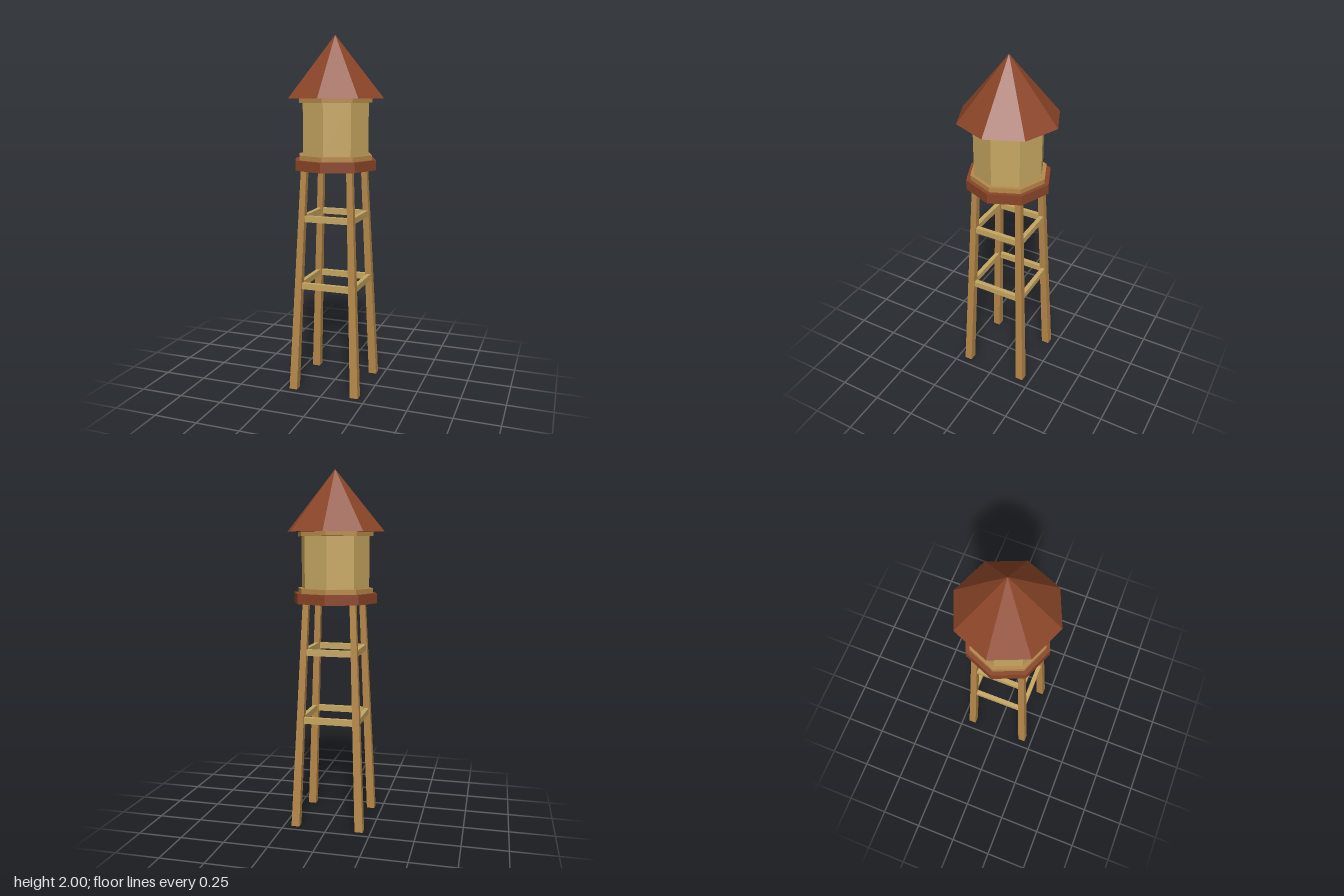
import * as THREE from 'three';

const paint = (name, color) => {
  const m = new THREE.MeshStandardMaterial({ color });
  m.name = name;
  m.flatShading = true;
  return m;
};

export function createModel() {
  const tower = new THREE.Group();
  tower.name = 'waterTower';
  const red = paint('rustRed', 0x8b4528);
  const plank = paint('paleWood', 0xc8a862);
  const timber = paint('timber', 0xb8894a);

  const add = (name, geometry, material, x = 0, y = 0, z = 0) => {
    const mesh = new THREE.Mesh(geometry, material);
    mesh.name = name;
    mesh.position.set(x, y, z);
    tower.add(mesh);
    return mesh;
  };

  // Eight-sided parts, stacked from bottom to top
  const octagon = (name, r, y0, y1, material) =>
    add(name, new THREE.CylinderGeometry(r, r, y1 - y0, 8), material, 0, (y0 + y1) / 2, 0);
  octagon('platform', 0.24, 1.267, 1.323, red);
  octagon('lowerBand', 0.216, 1.323, 1.35, timber);
  octagon('tank', 0.195, 1.35, 1.636, plank);
  octagon('upperBand', 0.216, 1.636, 1.661, timber);
  add('roof', new THREE.ConeGeometry(0.28, 0.34, 8), red, 0, 1.83, 0);

  // Leg centre line and width taper toward the platform
  const legTop = 1.27;
  const legCentre = (y) => THREE.MathUtils.lerp(0.184, 0.132, y / legTop);

  // Square legs leaning inward with level ends
  for (const sx of [-1, 1]) {
    for (const sz of [-1, 1]) {
      const leg = new THREE.BoxGeometry(1, legTop, 1);
      const p = leg.attributes.position;
      for (let i = 0; i < p.count; i++) {
        const y = p.getY(i) + legTop / 2;
        const w = THREE.MathUtils.lerp(0.046, 0.033, y / legTop);
        p.setXYZ(i, sx * legCentre(y) + p.getX(i) * w, y, sz * legCentre(y) + p.getZ(i) * w);
      }
      leg.computeVertexNormals();
      add('leg', leg, timber);
    }
  }

  // Two square rings of braces between the legs
  for (const y of [0.613, 0.997]) {
    const c = legCentre(y);
    for (const s of [-1, 1]) {
      add('crossBrace', new THREE.BoxGeometry(2 * c, 0.035, 0.025), plank, 0, y, s * c);
      add('sideBrace', new THREE.BoxGeometry(0.025, 0.035, 2 * c), plank, s * c, y, 0);
    }
  }
  return tower;
}
